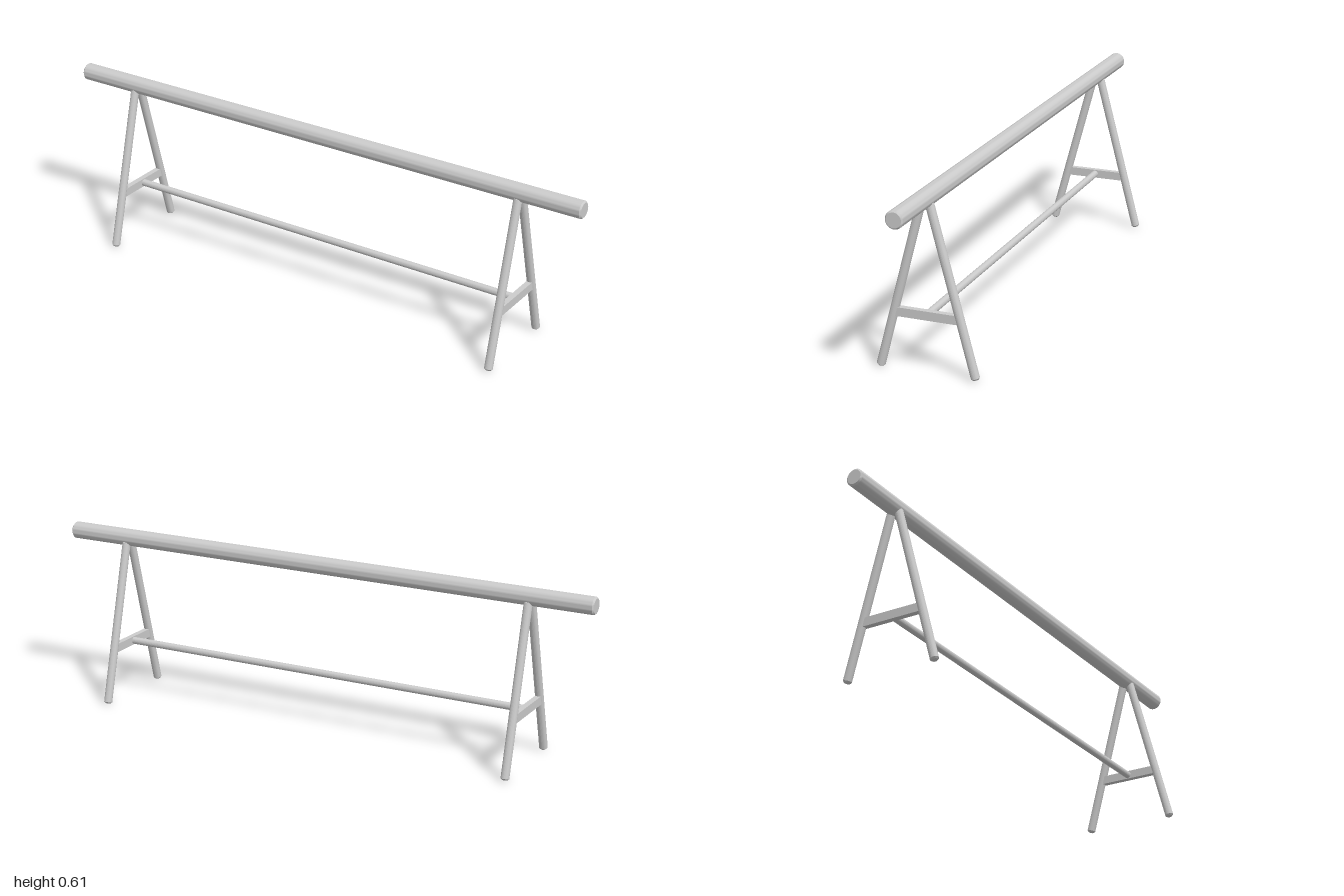
import * as THREE from 'three';
import { toCreasedNormals } from 'three/addons/utils/BufferGeometryUtils.js';

const material = new THREE.MeshStandardMaterial({ color: 0xcccccc });
const UP = new THREE.Vector3(0, 1, 0);

// Round pole with chamfered ends, running from point a to point b
function pole(name, a, b, radius, bevel, segments = 32) {
  const h = a.distanceTo(b) / 2;
  const profile = [
    [0, -h], [radius - bevel, -h], [radius, -h + bevel],
    [radius, h - bevel], [radius - bevel, h], [0, h],
  ].map(([x, y]) => new THREE.Vector2(x, y));
  const geometry = toCreasedNormals(new THREE.LatheGeometry(profile, segments), 0.5);
  const mesh = new THREE.Mesh(geometry, material);
  mesh.name = name;
  mesh.position.copy(a).add(b).multiplyScalar(0.5);
  mesh.quaternion.setFromUnitVectors(UP, b.clone().sub(a).normalize());
  return mesh;
}

// A-frame: two splayed legs joined by a flat cross brace
function aFrame(name, x) {
  const frame = new THREE.Group();
  frame.name = name;
  frame.position.x = x;
  for (const [legName, side] of [['frontLeg', 1], ['backLeg', -1]]) {
    frame.add(pole(
      legName,
      new THREE.Vector3(0, 0.0025, 0.1635 * side),
      new THREE.Vector3(0, 0.568, 0.013 * side),
      0.0145, 0.005, 24,
    ));
  }
  const brace = new THREE.Mesh(new THREE.BoxGeometry(0.02, 0.03, 0.22), material);
  brace.name = 'crossBrace';
  brace.position.y = 0.195;
  frame.add(brace);
  return frame;
}

export function createModel() {
  const model = new THREE.Group();
  model.name = 'trestleRail';

  // Thick top rail overhanging both frames
  model.add(pole('topRail', new THREE.Vector3(-1, 0.58, 0), new THREE.Vector3(1, 0.58, 0), 0.03, 0.005));

  // Two mirrored end frames
  model.add(aFrame('leftFrame', 0.773), aFrame('rightFrame', -0.773));

  // Thin stretcher between the cross braces
  model.add(pole('stretcher', new THREE.Vector3(-0.77, 0.195, 0), new THREE.Vector3(0.77, 0.195, 0), 0.0125, 0.001, 24));

  return model;
}
